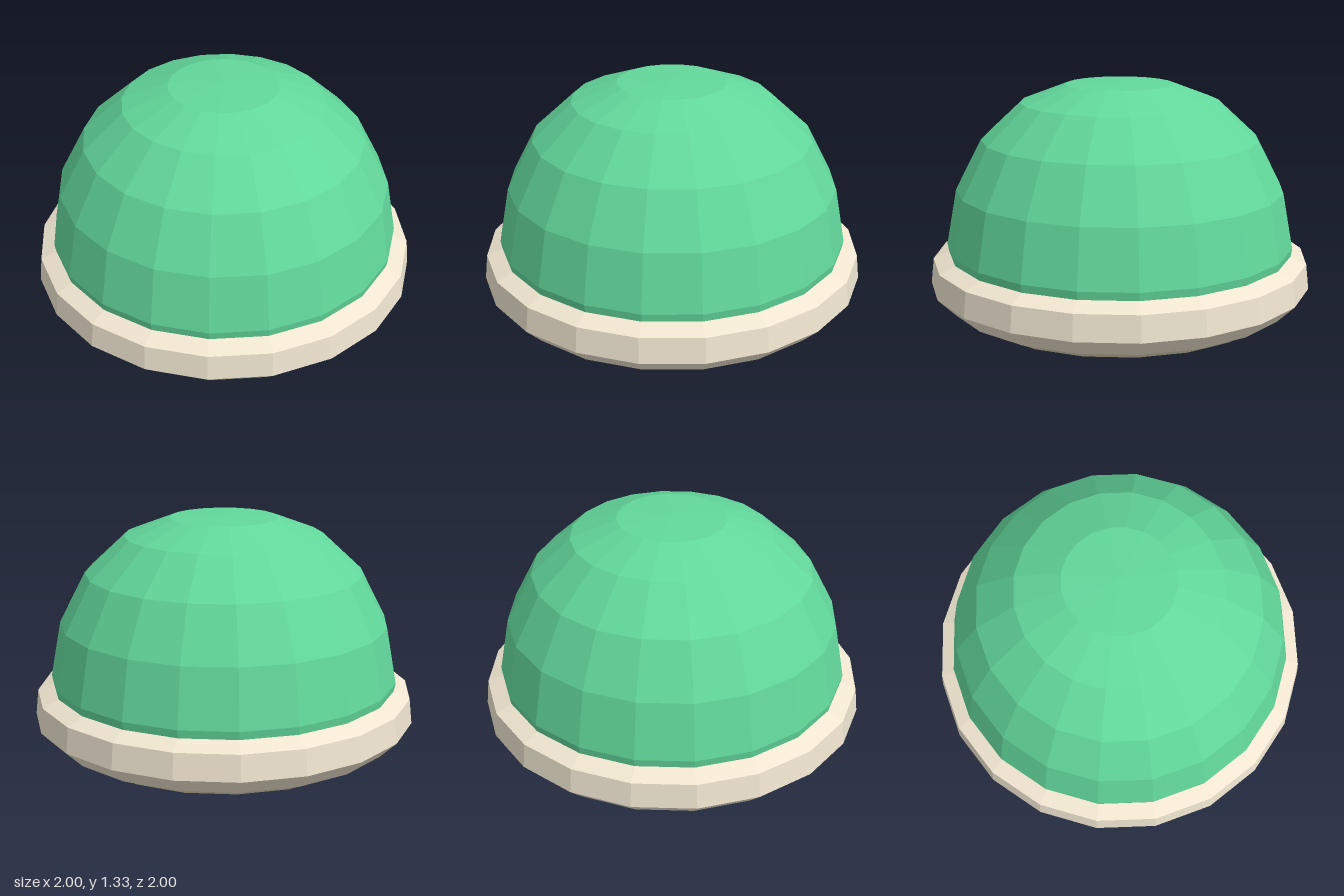
import * as THREE from 'three';

const SIDES = 20;

// A faceted solid of revolution; profile runs from bottom to top as [radius, y]
function turned(name, color, profile) {
  const points = profile.map(([r, y]) => new THREE.Vector2(r, y));
  const material = new THREE.MeshStandardMaterial({ color, flatShading: true });
  const mesh = new THREE.Mesh(new THREE.LatheGeometry(points, SIDES), material);
  mesh.name = name;
  return mesh;
}

export function createModel() {
  const model = new THREE.Group();
  model.name = 'domedShell';

  // Rounded green dome, slightly tucked in where it meets the rim
  model.add(turned('dome', 0x62d89b, [
    [0.9, 0.42], [0.91, 0.48], [0.855, 0.77], [0.72, 1.03],
    [0.515, 1.22], [0.28, 1.31], [0, 1.325],
  ]));

  // Cream rim with a flat underside lip
  model.add(turned('rim', 0xefe5d0, [
    [0.82, 0.178], [0.91, 0.18], [1, 0.27], [0.985, 0.4], [0.89, 0.445],
  ]));

  // Shallow belly underneath
  model.add(turned('belly', 0xd8cdac, [
    [0, 0], [0.535, 0.02], [0.805, 0.125], [0.85, 0.18],
  ]));

  return model;
}
